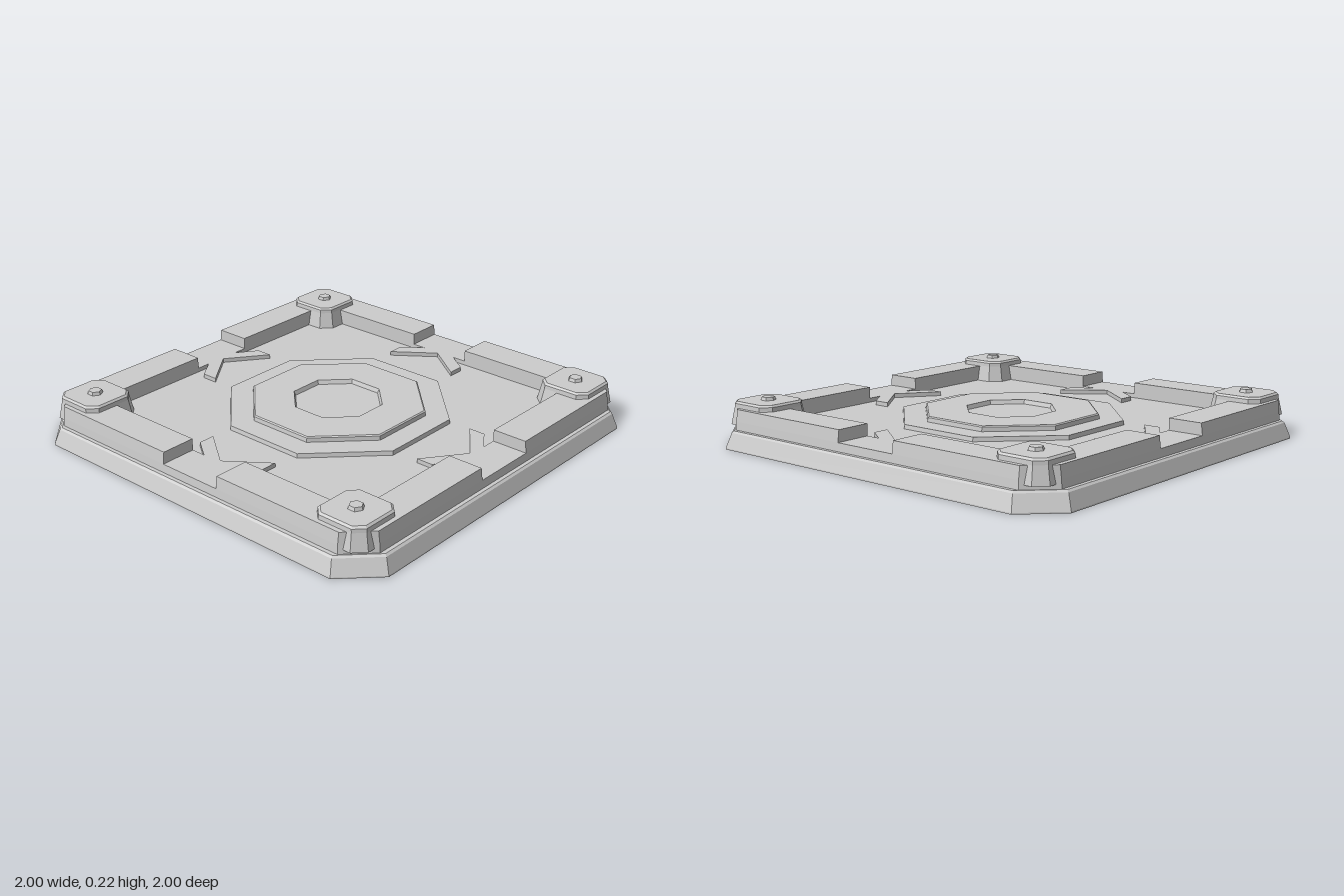
import * as THREE from 'three';

const grey = new THREE.MeshStandardMaterial({ color: 0xcccccc });
grey.name = 'plainGrey';

// Corners of a square with cut corners
function ring([y, half, cut]) {
  const k = half - cut;
  return [[half, k], [k, half], [-k, half], [-half, k], [-half, -k], [-k, -half], [k, -half], [half, -k]]
    .map(([x, z]) => [x, y, z]);
}

// Faceted skin through a stack of rings, ending in a flat top and optionally a flat bottom
function loft(name, levels, bottom = false) {
  const rings = levels.map(ring), pos = [];
  const tri = (a, b, c) => pos.push(...a, ...b, ...c);
  for (let r = 0; r < rings.length - 1; r++) {
    for (let i = 0; i < 8; i++) {
      const j = (i + 1) % 8, a = rings[r], b = rings[r + 1];
      tri(a[i], b[i], a[j]);
      tri(a[j], b[i], b[j]);
    }
  }
  const last = rings[rings.length - 1];
  for (let i = 1; i < 7; i++) {
    tri(last[0], last[i + 1], last[i]);
    if (bottom) tri(rings[0][0], rings[0][i], rings[0][i + 1]);
  }
  const geo = new THREE.BufferGeometry();
  geo.setAttribute('position', new THREE.Float32BufferAttribute(pos, 3));
  geo.computeVertexNormals();
  return part(name, geo);
}

function part(name, geo) {
  const mesh = new THREE.Mesh(geo, grey);
  mesh.name = name;
  return mesh;
}

// Flat outline raised from y0 to y1
function plate(points, y0, y1) {
  const shape = new THREE.Shape(points.map(([x, y]) => new THREE.Vector2(x, y)));
  const geo = new THREE.ExtrudeGeometry(shape, { depth: y1 - y0, bevelEnabled: false });
  return geo.rotateX(-Math.PI / 2).translate(0, y0, 0);
}

export function createModel() {
  const model = new THREE.Group();
  model.name = 'floorTile';

  // Sloping foot and the tray with its sunken floor
  model.add(loft('base', [[0, 1, 0.16], [0.006, 1, 0.16], [0.074, 0.975, 0.15], [0.082, 0.965, 0.145]], true));
  model.add(loft('tray', [[0.08, 0.947, 0.117], [0.12, 0.943, 0.115], [0.12, 0.77, 0], [0.1, 0.77, 0]]));

  // Stepped octagonal centre with a shallow dish
  model.add(loft('centrePlate', [[0.1, 0.5, 0.295], [0.12, 0.497, 0.293]]));
  model.add(loft('centreDisc', [[0.12, 0.392, 0.23], [0.14, 0.39, 0.228], [0.145, 0.384, 0.225],
    [0.145, 0.2, 0.117], [0.125, 0.193, 0.113]]));

  // Corner rim, outer walls leaning in slightly
  const rimGeo = plate([[0.16, 0.77], [0.77, 0.77], [0.77, 0.16], [0.943, 0.16],
    [0.943, 0.828], [0.828, 0.943], [0.16, 0.943]], 0.12, 0.175);
  const p = rimGeo.attributes.position;
  for (let i = 0; i < p.count; i++) {
    if (p.getY(i) < 0.17) continue;
    if (p.getX(i) > 0.9) p.setX(i, 0.936);
    if (p.getZ(i) < -0.9) p.setZ(i, -0.936);
  }
  rimGeo.computeVertexNormals();

  // Arrow plates, flush with the gaps in the rim
  const chevronGeo = plate([[0, 0.76], [0.19, 0.62], [0.19, 0.7], [0.09, 0.771],
    [-0.09, 0.771], [-0.19, 0.7], [-0.19, 0.62]], 0.1, 0.12);

  for (let q = 0; q < 4; q++) {
    const corner = new THREE.Group();
    corner.name = 'quarter' + (q + 1);
    corner.rotation.y = q * Math.PI / 2;
    corner.add(part('cornerRim', rimGeo), part('chevron', chevronGeo));

    // Tapered corner post with a chamfered cap
    const post = loft('cornerPost', [[0.1, 0.143, 0.05], [0.178, 0.127, 0.042],
      [0.195, 0.126, 0.042], [0.204, 0.117, 0.038]], true);
    post.position.set(0.787, 0, -0.787);
    corner.add(post);
    model.add(corner);

    // Hexagonal bolt head
    const bolt = part('bolt', new THREE.CylinderGeometry(0.03, 0.036, 0.016, 6).toNonIndexed());
    bolt.geometry.computeVertexNormals();
    bolt.position.set(q % 2 ? 0.787 : -0.787, 0.211, q < 2 ? 0.787 : -0.787);
    model.add(bolt);
  }
  return model;
}
